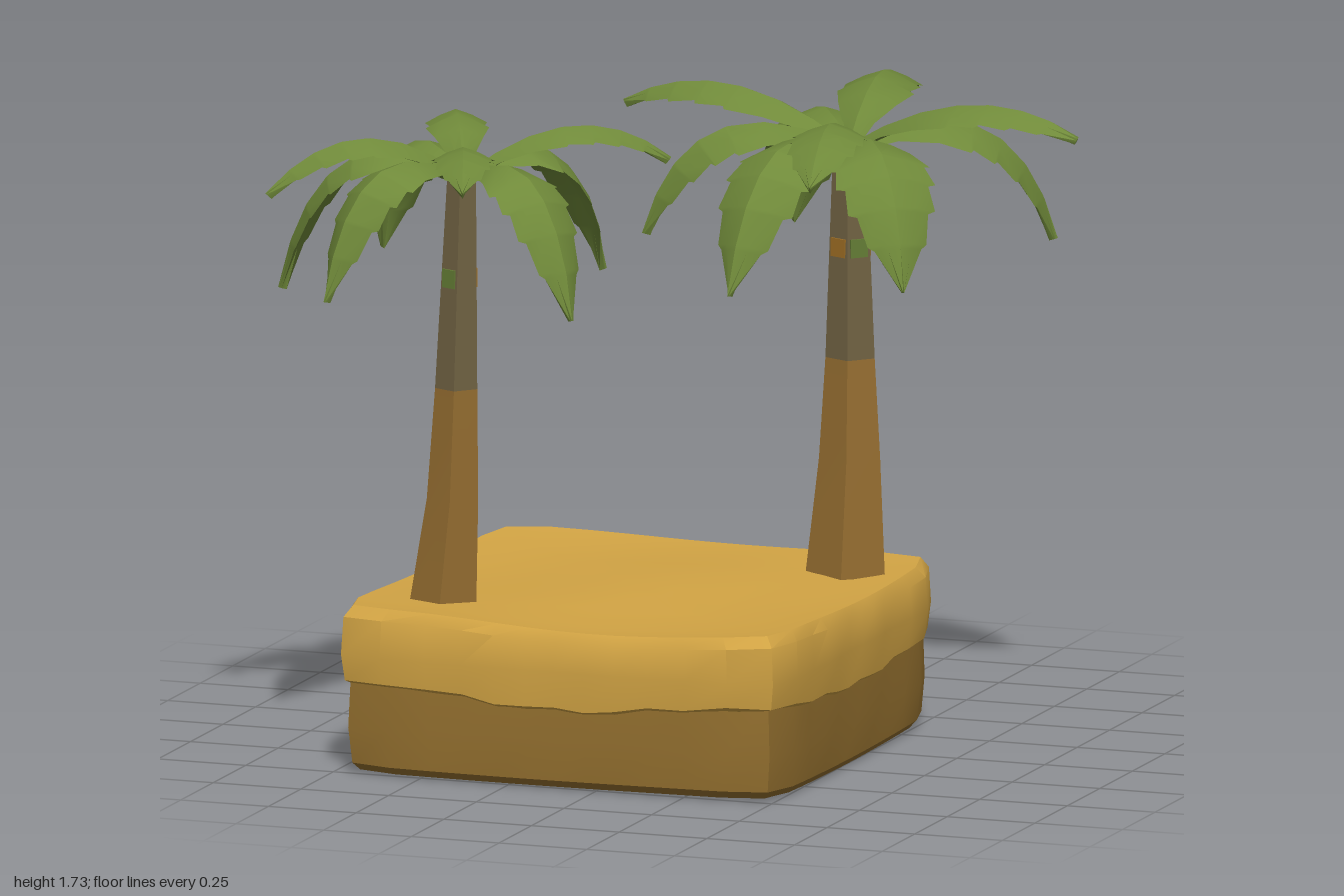
import * as THREE from 'three';
import { toCreasedNormals } from 'three/addons/utils/BufferGeometryUtils.js';

const mat = (name, color) => {
  const m = new THREE.MeshStandardMaterial({ color });
  m.name = name;
  return m;
};

// Skin a stack of closed rings and cap both ends
function loft(rings, crease) {
  const n = rings[0].length, pos = [], idx = [];
  rings.forEach(r => r.forEach(p => pos.push(p.x, p.y, p.z)));
  for (let i = 0; i < rings.length - 1; i++) {
    for (let j = 0; j < n; j++) {
      const a = i * n + j, b = i * n + (j + 1) % n;
      idx.push(a, b, b + n, a, b + n, a + n);
    }
  }
  [0, rings.length - 1].forEach(i => {
    const c = new THREE.Vector3();
    rings[i].forEach(p => c.addScaledVector(p, 1 / n));
    const k = pos.length / 3;
    pos.push(c.x, c.y, c.z);
    for (let j = 0; j < n; j++) {
      const a = i * n + j, b = i * n + (j + 1) % n;
      if (i === 0) idx.push(k, b, a); else idx.push(k, a, b);
    }
  });
  const g = new THREE.BufferGeometry();
  g.setAttribute('position', new THREE.Float32BufferAttribute(pos, 3));
  g.setIndex(idx);
  return toCreasedNormals(g, crease);
}

// Rounded-square ring whose height follows a rule
function squareRing(half, heightAt, wobble = 0) {
  const ring = [];
  for (let i = 0; i < 48; i++) {
    const a = i / 48 * Math.PI * 2, c = Math.cos(a), s = Math.sin(a);
    const k = Math.pow(Math.abs(c) ** 14 + Math.abs(s) ** 14, -1 / 14);
    const r = half * k + wobble * Math.sin(i * 1.7);
    const x = c * r, z = -s * r;
    ring.push(new THREE.Vector3(x, heightAt(x, z, i), z));
  }
  return ring;
}

// Frond outline: position along the rib, relative half width (drops are notches)
const OUTLINE = [[0, 0.15], [0.15, 0.42], [0.3, 0.76], [0.45, 1], [0.465, 0.87], [0.59, 0.98],
  [0.605, 0.82], [0.73, 0.86], [0.745, 0.7], [0.86, 0.58], [0.875, 0.46], [1, 0.02]];

// Arched frond from the crown out to a tip
function frondGeometry(crown, tip, halfWidth, droops) {
  const flat = new THREE.Vector3(tip.x - crown.x, 0, tip.z - crown.z);
  const ctrl = crown.clone().addScaledVector(flat, droops ? 0.78 : 0.55);
  ctrl.y = droops ? 1.79 : 1.82;
  const curve = new THREE.QuadraticBezierCurve3(crown, ctrl, tip);
  const side = new THREE.Vector3(0, 1, 0).cross(flat).normalize();
  const rings = OUTLINE.map(([t, k]) => {
    const p = curve.getPoint(t), up = curve.getTangent(t).cross(side).normalize();
    const w = halfWidth * k;
    const at = (s, u) => p.clone().addScaledVector(side, s).addScaledVector(up, u);
    const d = -0.32 * w;
    return [at(w, d), at(w * 0.5, d * 0.4 + 0.006), at(0, 0.01), at(-w * 0.5, d * 0.4 + 0.006),
      at(-w, d), at(-w * 0.5, d * 0.4 - 0.012), at(0, -0.014), at(w * 0.5, d * 0.4 - 0.012)];
  });
  return loft(rings, 0.6);
}

// Five-sided trunk ring
function trunkRing([x, y, z, r]) {
  const ring = [];
  for (let i = 0; i < 5; i++) {
    const a = THREE.MathUtils.degToRad(66 + 72 * i);
    ring.push(new THREE.Vector3(x + r * Math.cos(a), y, z - r * Math.sin(a)));
  }
  return ring;
}

export function createModel() {
  const sand = mat('sand', 0xd2a444), soil = mat('soil', 0x94702f);
  const bark = mat('bark', 0x936c30), upperBark = mat('upperBark', 0x6f6142);
  const leaf = mat('leaf', 0x708a3a);
  const patchMats = { orange: mat('orangePatch', 0xa06f24), green: mat('greenPatch', 0x667f36) };

  const model = new THREE.Group();
  model.name = 'palmIsland';
  const add = (parent, name, geometry, material) => {
    const m = new THREE.Mesh(geometry, material);
    m.name = name;
    parent.add(m);
    return m;
  };

  // Ground block: soil below, overhanging sand above
  const ground = new THREE.Group();
  ground.name = 'ground';
  ground.position.set(-0.105, 0, 0.155);
  model.add(ground);
  const floor = (x, z) => 0.012 + 0.008 * Math.sin(4 * x + 2) * Math.cos(3 * z);
  add(ground, 'soil', loft([
    squareRing(0.605, floor),
    squareRing(0.622, (x, z) => floor(x, z) + 0.02),
    squareRing(0.63, () => 0.13, 0.002),
    squareRing(0.625, () => 0.28),
  ], 0.6), soil);
  const hem = (x, z) => 0.232 + 0.018 * Math.sin(6 * x + 1.5) * Math.cos(5 * z) + 0.006 * Math.sin(23 * (x + z));
  const dune = (x, z) => 0.44 + 0.014 * Math.sin(5 * x + 1) * Math.cos(4 * z + 0.5);
  add(ground, 'sand', loft([
    squareRing(0.62, hem),
    squareRing(0.637, (x, z) => hem(x, z) + 0.012, 0.003),
    squareRing(0.645, () => 0.33, 0.004),
    squareRing(0.64, (x, z) => dune(x, z) - 0.02, 0.003),
    squareRing(0.62, (x, z) => dune(x, z) + 0.01),
    squareRing(0.5, dune),
    squareRing(0.3, dune),
    squareRing(0.12, dune),
  ], 0.6), sand);

  // Each trunk station is x, y, z, radius; each frond is x, y, z of its tip and 1 if it droops
  const palms = [
    {
      name: 'tallPalm', crown: [0.33, 1.58, -0.3], widths: [0.105, 0.14],
      trunk: [[0.345, 0.41, -0.245, 0.115], [0.35, 0.75, -0.265, 0.087], [0.345, 1.02, -0.28, 0.07], [0.335, 1.59, -0.3, 0.047]],
      patches: [['orange', 30], ['orange', 246], ['green', 318]],
      fronds: [[0.24, 1.6, -0.98, 0], [0.82, 1.32, -0.56, 1], [1, 1.66, -0.25, 0], [0.66, 1.3, 0.17, 1],
        [0.46, 1.6, 0.35, 0], [0.19, 1.27, 0.24, 1], [-0.16, 1.36, -0.06, 1], [-0.33, 1.65, -0.36, 0], [0.01, 1.28, -0.74, 1]],
    },
    {
      name: 'shortPalm', crown: [-0.49, 1.58, 0.45], widths: [0.085, 0.115],
      trunk: [[-0.53, 0.41, 0.495, 0.097], [-0.505, 0.72, 0.485, 0.073], [-0.497, 1.02, 0.48, 0.06], [-0.488, 1.59, 0.465, 0.041]],
      patches: [['orange', 30], ['green', 246]],
      fronds: [[-0.67, 1.62, 0.06, 0], [-0.83, 1.32, 0.16, 1], [-0.99, 1.26, 0.5, 1], [-0.94, 1.56, 0.74, 0],
        [-0.74, 1.3, 0.83, 1], [-0.3, 1.65, 0.97, 0], [-0.09, 1.27, 0.7, 1], [0, 1.62, 0.19, 0], [-0.22, 1.29, 0.1, 1]],
    },
  ];

  for (const palm of palms) {
    const group = new THREE.Group();
    group.name = palm.name;
    model.add(group);
    const rings = palm.trunk.map(trunkRing);
    add(group, 'lowerTrunk', loft(rings.slice(0, 3), 0.5), bark);
    add(group, 'upperTrunk', loft(rings.slice(2), 0.5), upperBark);

    // Small bark patches lying on the trunk faces
    const [lo, hi] = palm.trunk.slice(2);
    const t = (1.32 - lo[1]) / (hi[1] - lo[1]);
    const [x, y, z, r] = lo.map((v, i) => v + (hi[i] - v) * t);
    for (const [colour, degrees] of palm.patches) {
      const a = THREE.MathUtils.degToRad(degrees), d = r * Math.cos(Math.PI / 5);
      const plate = add(group, colour + 'Patch', new THREE.BoxGeometry(0.008, 0.05, r * 0.9), patchMats[colour]);
      plate.position.set(x + d * Math.cos(a), y, z - d * Math.sin(a));
      plate.rotation.y = a;
    }

    // Crown of fronds
    const crown = new THREE.Vector3(...palm.crown);
    palm.fronds.forEach(([fx, fy, fz, droops]) => {
      const tip = new THREE.Vector3(fx, fy, fz);
      add(group, droops ? 'droopingFrond' : 'pointedFrond', frondGeometry(crown, tip, palm.widths[droops], droops), leaf);
    });
  }
  return model;
}
